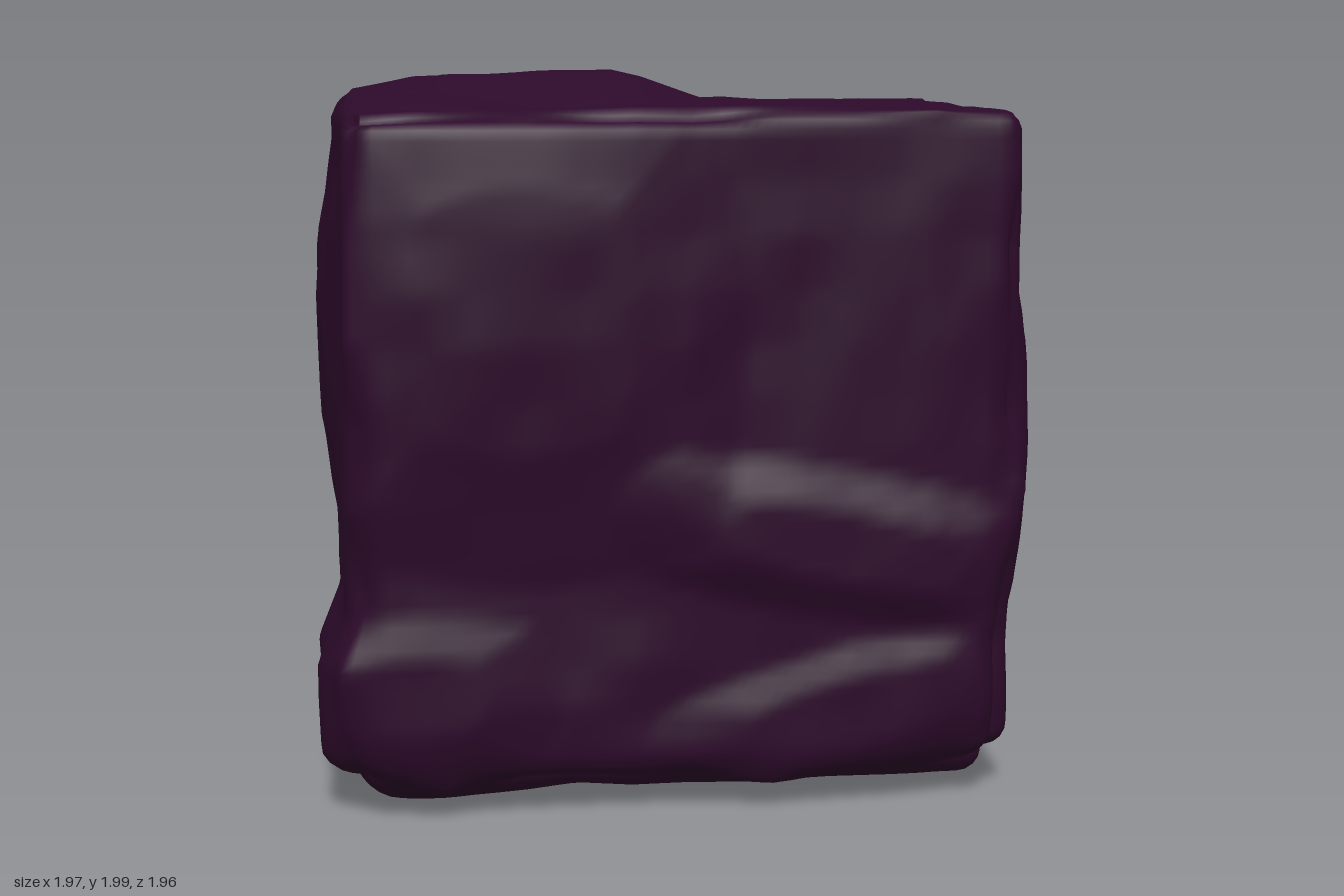
import * as THREE from 'three';
import { mergeVertices } from 'three/addons/utils/BufferGeometryUtils.js';

const HALF = [0.91, 0.92, 0.91];
const MID = 0.985;

// One lump or hollow: centre, radii, height and tilt on its side of the block
const lump = (u, v, ru, rv, h, tilt = 0) => ({ u, v, ru, rv, h, tilt });

// Each side is seen along its axis, with u and v as the other two axes
const front = { axis: 2, sign: 1, u: 0, v: 1, lumps: [
  lump(-0.45, 1.35, 0.6, 0.7, 0.05),
  lump(0.42, 0.74, 0.65, 0.2, 0.05, -0.2),
  lump(0.45, 0.28, 0.6, 0.19, 0.035, 0.25),
  lump(-0.75, 0.36, 0.4, 0.22, 0.035),
] };
const back = { axis: 2, sign: -1, u: 0, v: 1, lumps: [
  lump(0.15, 0.95, 0.5, 0.4, 0.06),
  lump(0.5, 1.68, 0.6, 0.1, -0.03, -0.3),
  lump(-0.5, 0.38, 0.45, 0.3, 0.02),
] };
const leftSide = { axis: 0, sign: 1, u: 2, v: 1, lumps: [
  lump(-0.62, 1.05, 0.42, 0.45, 0.06),
  lump(0.5, 0.98, 0.45, 0.5, 0.06),
  lump(-0.35, 0.28, 0.45, 0.32, 0.04),
  lump(-0.5, 1.69, 0.55, 0.1, -0.03),
] };
const rightSide = { axis: 0, sign: -1, u: 2, v: 1, lumps: [
  lump(0.55, 0.28, 0.5, 0.3, 0.07),
  lump(-0.6, 1.2, 0.45, 0.6, 0.05),
  lump(0.35, 1.25, 0.5, 0.5, 0.05),
] };
const top = { axis: 1, sign: 1, u: 0, v: 2, lumps: [
  lump(-0.38, -0.16, 0.6, 0.45, 0.085, -0.15),
  lump(-0.45, 0.5, 0.45, 0.16, -0.03, -0.4),
  lump(0.45, 0.12, 0.5, 0.14, -0.03),
] };
const underside = { axis: 1, sign: -1, u: 0, v: 2, lumps: [
  lump(-0.62, 0.45, 0.4, 0.42, 0.035),
  lump(0.48, -0.6, 0.4, 0.35, 0.045),
] };
const SIDES = [front, back, leftSide, rightSide, top, underside];

// Repeatable value between -1 and 1 for a lattice point
function hash(i, j, k) {
  const s = Math.sin(i * 127.1 + j * 311.7 + k * 74.7) * 43758.5453;
  return 2 * (s - Math.floor(s)) - 1;
}

// Linear lattice noise, which gives broad chipped planes
function noise(x, y, z) {
  const i = Math.floor(x), j = Math.floor(y), k = Math.floor(z);
  let sum = 0;
  for (let c = 0; c < 8; c++) {
    const a = c & 1, b = (c >> 1) & 1, d = c >> 2;
    const w = (a ? x - i : 1 - x + i) * (b ? y - j : 1 - y + j) * (d ? z - k : 1 - z + k);
    sum += w * hash(i + a, j + b, k + d);
  }
  return sum;
}

// Flat-topped lump with sloping flanks
function lumpHeight(l, u, v) {
  const c = Math.cos(l.tilt), s = Math.sin(l.tilt);
  const a = ((u - l.u) * c + (v - l.v) * s) / l.ru;
  const b = ((v - l.v) * c - (u - l.u) * s) / l.rv;
  const d = 0.5 * Math.hypot(a, b) + 0.5 * Math.max(Math.abs(a), Math.abs(b));
  return l.h * THREE.MathUtils.clamp(2 * (1 - d), 0, 1);
}

function rockGeometry() {
  const box = new THREE.BoxGeometry(2 * HALF[0], 2 * HALF[1], 2 * HALF[2], 64, 64, 64);
  box.deleteAttribute('normal');
  box.deleteAttribute('uv');
  const geo = mergeVertices(box, 1e-4);
  geo.clearGroups();
  const pos = geo.attributes.position;
  for (let i = 0; i < pos.count; i++) {
    // round the edges, more worn towards the ground
    const raw = [pos.getX(i), pos.getY(i), pos.getZ(i)];
    const r = THREE.MathUtils.mapLinear(raw[1], -HALF[1], HALF[1], 0.14, 0.06);
    const core = raw.map((c, a) => THREE.MathUtils.clamp(c, r - HALF[a], HALF[a] - r));
    const n = new THREE.Vector3(...raw).sub(new THREE.Vector3(...core)).normalize().toArray();
    const p = core.map((c, a) => c + n[a] * r);
    p[1] += MID;
    const out = p.slice();
    // carved lumps and ledges
    for (const side of SIDES) {
      const w = Math.max(0, n[side.axis] * side.sign);
      for (const l of side.lumps) {
        out[side.axis] += side.sign * w * lumpHeight(l, p[side.u], p[side.v]);
      }
    }
    // chips, deeper along the edges
    const edge = 1 - Math.max(...n.map(Math.abs));
    const chip = 0.018 * noise(p[0] * 3.1 + 5, p[1] * 3.1, p[2] * 3.1 + 9)
      + 0.008 * noise(p[0] * 7, p[1] * 7 + 3, p[2] * 7)
      + edge * (0.2 * noise(p[0] * 4.6, p[1] * 4.6 + 7, p[2] * 4.6) - 0.03);
    pos.setXYZ(i, ...out.map((c, a) => c + n[a] * chip));
  }
  geo.computeVertexNormals();
  return geo;
}

export function createModel() {
  const model = new THREE.Group();
  model.name = 'rockBlock';
  const stone = new THREE.MeshStandardMaterial({ color: 0x2c0a2a });
  stone.name = 'dark purple stone';
  const rock = new THREE.Mesh(rockGeometry(), stone);
  rock.name = 'rock';
  model.add(rock);
  return model;
}
